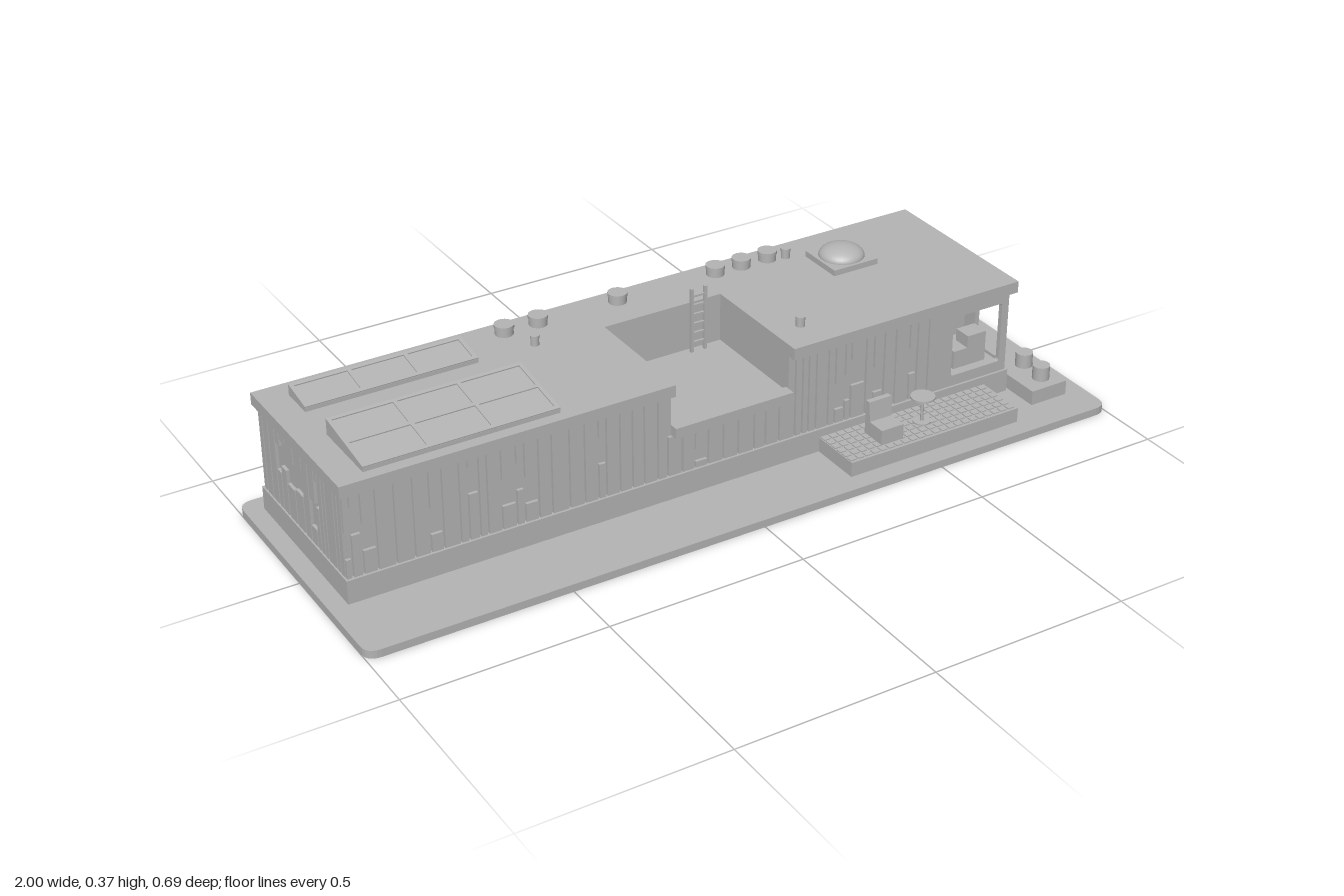
import * as THREE from 'three';
import { mergeGeometries } from 'three/addons/utils/BufferGeometryUtils.js';

const grey = new THREE.MeshStandardMaterial({ color: 0xb4b4b4 });
grey.name = 'plain grey';

const mesh = (name, geo, parent) => {
  const m = new THREE.Mesh(geo, grey);
  m.name = name;
  parent.add(m);
  return m;
};
// Box given by its limits on each axis
const boxGeo = (x0, x1, y0, y1, z0, z1) =>
  new THREE.BoxGeometry(x1 - x0, y1 - y0, z1 - z0).translate((x0 + x1) / 2, (y0 + y1) / 2, (z0 + z1) / 2);
const cylGeo = (x, z, r, y0, y1, n = 24) =>
  new THREE.CylinderGeometry(r, r, y1 - y0, n).translate(x, (y0 + y1) / 2, z);

function roundedRect(x0, x1, y0, y1, r, S = THREE.Shape) {
  const s = new S();
  s.moveTo(x0 + r, y0);
  s.lineTo(x1 - r, y0); s.quadraticCurveTo(x1, y0, x1, y0 + r);
  s.lineTo(x1, y1 - r); s.quadraticCurveTo(x1, y1, x1 - r, y1);
  s.lineTo(x0 + r, y1); s.quadraticCurveTo(x0, y1, x0, y1 - r);
  s.lineTo(x0, y0 + r); s.quadraticCurveTo(x0, y0, x0 + r, y0);
  return s;
}
// Horizontal slab from a plan outline in (x, -z)
const slabGeo = (shape, y0, y1) =>
  new THREE.ExtrudeGeometry(shape, { depth: y1 - y0, bevelEnabled: false, curveSegments: 6 })
    .rotateX(-Math.PI / 2).translate(0, y0, 0);
// Plan rectangle with the terrace cut out of its front edge
const notched = (x0, x1, zBack, zFront) => new THREE.Shape([
  [x0, zFront], [-0.13, zFront], [-0.13, -0.155], [0.19, -0.155],
  [0.19, zFront], [x1, zFront], [x1, zBack], [x0, zBack],
].map(([x, z]) => new THREE.Vector2(x, -z)));

function random(seed) {
  return () => (seed = (seed * 16807) % 2147483647) / 2147483647;
}

// Cladding of uneven vertical boards, with some cut away for small windows
function facade(name, u0, u1, seed, topAt, skip = []) {
  const rnd = random(seed), parts = [], y0 = 0.08;
  let u = u0;
  while (u < u1 - 0.008) {
    const w = Math.min(0.012 + rnd() * 0.028, u1 - u), a = u, b = u + w;
    const kind = rnd(), cut = rnd();
    u = b + 0.005;
    if (skip.some(([s, e]) => b > s && a < e)) continue;
    const top = topAt((a + b) / 2), h = top - y0;
    if (kind < 0.3) {
      const lo = y0 + h * (0.15 + cut * 0.4), hi = lo + h * 0.32;
      parts.push(boxGeo(a, b, y0, lo, 0, 0.008), boxGeo(a, b, hi, top, 0, 0.008));
    } else parts.push(boxGeo(a, b, y0, top, 0, 0.008));
  }
  const m = new THREE.Mesh(mergeGeometries(parts), grey);
  m.name = name;
  return m;
}

// Sloped solar array: solid wedge with a raised grid of bars
function solarArray(x0, x1, zFront, zBack, yFront, yBack, cols, rows) {
  const g = new THREE.Group();
  g.name = 'solarArray';
  const base = 0.325, wedge = boxGeo(x0, x1, base, yBack, zBack, zFront), p = wedge.attributes.position;
  for (let i = 0; i < p.count; i++) if (p.getY(i) > base + 0.001 && p.getZ(i) > (zFront + zBack) / 2) p.setY(i, yFront - 0.003);
    else if (p.getY(i) > base + 0.001) p.setY(i, yBack - 0.003);
  wedge.computeVertexNormals();
  mesh('panelWedge', wedge, g);
  const len = Math.hypot(zFront - zBack, yBack - yFront), w = x1 - x0, t = 0.01, bars = [];
  for (let i = 0; i <= cols; i++) {
    const x = -w / 2 + t / 2 + (w - t) * i / cols;
    bars.push(boxGeo(x - t / 2, x + t / 2, -0.005, 0, -len / 2, len / 2));
  }
  for (let j = 0; j <= rows; j++) {
    const z = -len / 2 + t / 2 + (len - t) * j / rows;
    bars.push(boxGeo(-w / 2, w / 2, -0.005, 0, z - t / 2, z + t / 2));
  }
  const frame = mesh('panelFrame', mergeGeometries(bars), g);
  frame.position.set((x0 + x1) / 2, (yFront + yBack) / 2, (zFront + zBack) / 2);
  frame.rotation.x = Math.atan2(yBack - yFront, zFront - zBack);
  return g;
}

export function createModel() {
  const model = new THREE.Group();
  model.name = 'house';
  const add = (name, geo) => mesh(name, geo, model);
  const box = (name, ...a) => add(name, boxGeo(...a));

  // Ground slab and plinth
  add('groundSlab', slabGeo(roundedRect(-1, 1, -0.345, 0.345, 0.035), 0, 0.02));
  box('plinth', -0.955, 0.831, 0.02, 0.08, -0.296, 0.159);

  // Solid walls, open at the front corner room and the terrace
  box('lowerWalls', -0.943, 0.62, 0.08, 0.2, -0.283, 0.145);
  add('upperWalls', slabGeo(notched(-0.943, 0.62, -0.283, 0.145), 0.2, 0.296));
  box('rearCornerWalls', 0.62, 0.818, 0.08, 0.296, -0.283, 0);
  box('terraceLedge', -0.13, 0.19, 0.183, 0.21, 0.135, 0.167);

  // Cladding on all four sides
  const frontTop = u => (u > -0.14 && u < 0.2 ? 0.183 : 0.295);
  const full = () => 0.295;
  const front = facade('frontCladding', -0.95, 0.62, 77, frontTop);
  front.position.z = 0.145;
  const back = facade('backCladding', -0.826, 0.95, 1234, full);
  back.position.z = -0.283;
  back.rotation.y = Math.PI;
  const left = facade('rightSideCladding', -0.283, 0.145, 991, full);
  left.position.x = -0.943;
  left.rotation.y = -Math.PI / 2;
  const right = facade('leftSideCladding', 0, 0.283, 4321, full, [[0.04, 0.125]]);
  right.position.x = 0.818;
  right.rotation.y = Math.PI / 2;
  model.add(front, back, left, right);

  // Side door frame
  const door = roundedRect(0.04, 0.125, 0.085, 0.267, 0.002);
  door.holes.push(roundedRect(0.048, 0.117, 0.093, 0.259, 0.002, THREE.Path));
  add('sideDoorFrame', new THREE.ExtrudeGeometry(door, { depth: 0.007, bevelEnabled: false })
    .rotateY(Math.PI / 2).translate(0.818, 0, 0));

  // Corner room with large rounded openings
  const wallGeo = (a, b, c, d) => {
    const s = roundedRect(a, b, 0.08, 0.296, 0.0005);
    s.holes.push(roundedRect(c, d, 0.108, 0.268, 0.008, THREE.Path));
    return new THREE.ExtrudeGeometry(s, { depth: 0.012, bevelEnabled: false });
  };
  add('cornerFrontWall', wallGeo(0.62, 0.826, 0.66, 0.806).translate(0, 0, 0.141));
  add('cornerSideWall', wallGeo(-0.152, 0, -0.132, -0.042).rotateY(Math.PI / 2).translate(0.814, 0, 0));
  box('cornerRoomFloor', 0.62, 0.815, 0.08, 0.1, 0, 0.142);
  box('armchairSeat', 0.695, 0.79, 0.1, 0.148, 0.045, 0.117);
  box('armchairBack', 0.735, 0.79, 0.1, 0.18, 0.07, 0.117);

  // Roof
  add('roof', slabGeo(notched(-0.96, 0.84, -0.302, 0.167), 0.295, 0.325));
  model.add(solarArray(-0.89, -0.41, 0.138, -0.045, 0.338, 0.366, 3, 2));
  model.add(solarArray(-0.89, -0.46, -0.158, -0.247, 0.338, 0.353, 3, 1));

  // Roof vents with slightly wider caps
  const vents = [[-0.345, 0.024], [-0.255, 0.024], [-0.04, 0.024], [0.235, 0.024], [0.31, 0.024], [0.385, 0.024]]
    .map(([x, r]) => [x, -0.25, r]);
  vents.push([0.43, -0.236, 0.012], [-0.31, -0.165, 0.011], [0.265, 0.078, 0.012]);
  for (const [x, z, r] of vents) {
    add('ventPipe', cylGeo(x, z, r * 0.93, 0.325, 0.344));
    add('ventCap', cylGeo(x, z, r, 0.342, 0.351));
  }

  // Skylight
  box('skylightBase', 0.475, 0.603, 0.325, 0.34, -0.215, -0.088);
  add('skylightDome', new THREE.SphereGeometry(0.057, 32, 12, 0, Math.PI * 2, 0, Math.PI / 2)
    .scale(1, 0.49, 1).translate(0.539, 0.34, -0.152));

  // Terrace ladder
  const ladder = [];
  for (const x of [0.1, 0.137]) ladder.push(boxGeo(x - 0.004, x + 0.004, 0.2, 0.37, -0.143, -0.135));
  for (let i = 0; i < 6; i++) ladder.push(boxGeo(0.1, 0.137, 0.222 + i * 0.025, 0.227 + i * 0.025, -0.142, -0.136));
  add('ladder', mergeGeometries(ladder));

  // Tiled front deck
  box('deck', 0.272, 0.76, 0.02, 0.058, 0.159, 0.295);
  const tiles = [], nx = 22, nz = 6;
  for (let i = 0; i < nx; i++) for (let j = 0; j < nz; j++) {
    const x = 0.274 + i * 0.484 / nx, z = 0.162 + j * 0.131 / nz;
    tiles.push(boxGeo(x, x + 0.484 / nx - 0.005, 0.058, 0.061, z, z + 0.131 / nz - 0.005));
  }
  add('deckTiles', mergeGeometries(tiles));

  // Deck chair and table
  box('chairSeat', 0.375, 0.438, 0.06, 0.099, 0.205, 0.268);
  const backrest = new THREE.Shape([[0.222, 0.06], [0.214, 0.15], [0.2, 0.15], [0.199, 0.06]]
    .map(([z, y]) => new THREE.Vector2(-z, y)));
  add('chairBack', new THREE.ExtrudeGeometry(backrest, { depth: 0.063, bevelEnabled: false })
    .rotateY(Math.PI / 2).translate(0.375, 0, 0));
  add('tableBase', cylGeo(0.521, 0.228, 0.022, 0.06, 0.065));
  add('tableStem', cylGeo(0.521, 0.228, 0.004, 0.06, 0.13, 12));
  add('tableTop', cylGeo(0.521, 0.228, 0.03, 0.127, 0.132, 32));

  // Side step with planters
  box('sideStep', 0.84, 0.945, 0.02, 0.058, -0.076, 0.25);
  for (const [x, z] of [[0.905, 0.131], [0.9, 0.205]]) add('planter', cylGeo(x, z, 0.0215, 0.058, 0.095));

  return model;
}
